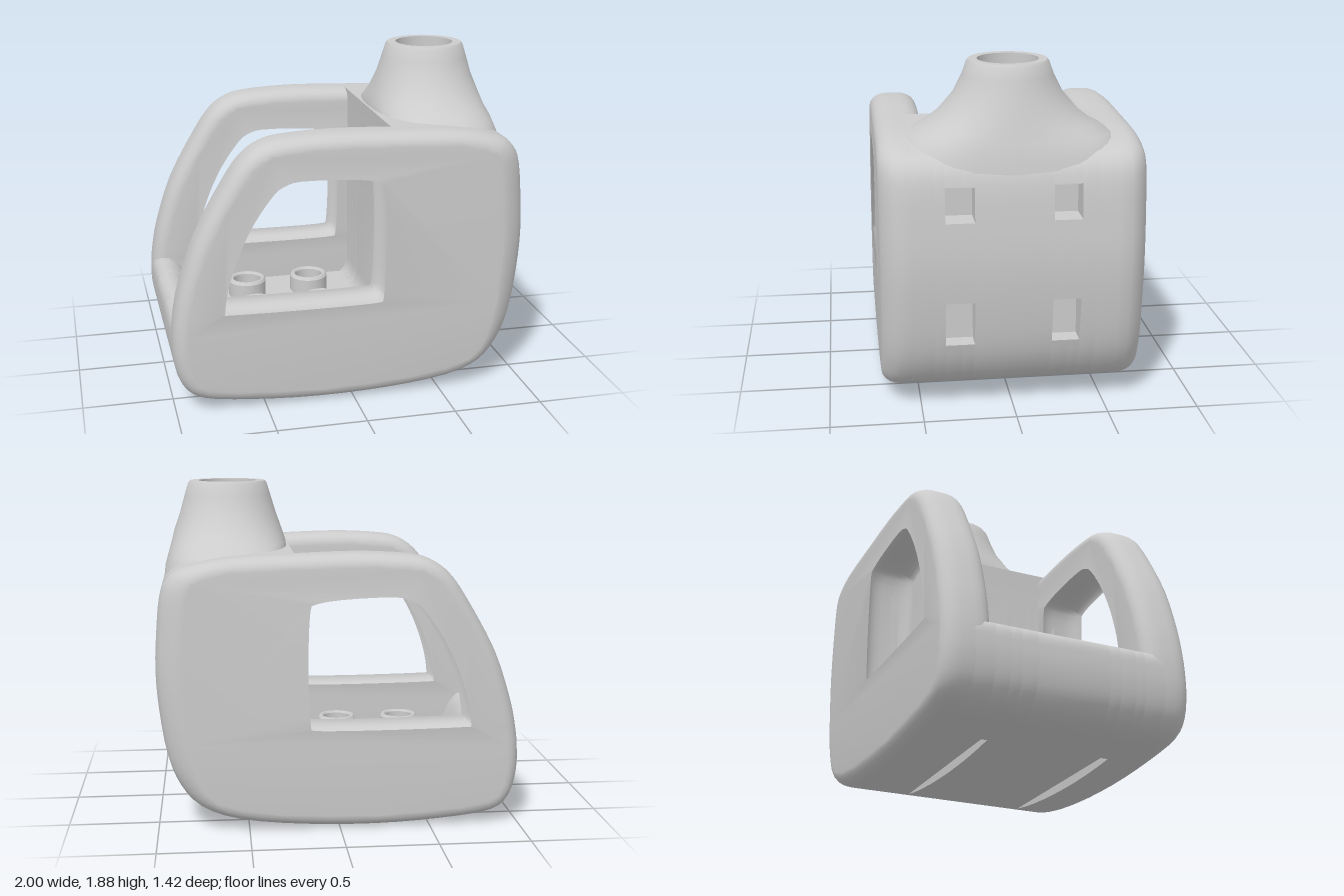
import * as THREE from 'three';
import { toCreasedNormals } from 'three/addons/utils/BufferGeometryUtils.js';

const material = new THREE.MeshStandardMaterial({ color: 0xcccccc, side: THREE.DoubleSide });
const STEPS = 3; // samples per spline segment, so control points are always hit

const vec = ([x, y]) => new THREE.Vector2(x, y);
const smooth = (pts) => new THREE.SplineCurve(pts.map(vec)).getPoints((pts.length - 1) * STEPS);

function addMesh(parent, name, geometry, crease = 0.7) {
  const mesh = new THREE.Mesh(toCreasedNormals(geometry, crease), material);
  mesh.name = name;
  parent.add(mesh);
  return mesh;
}

// Side outline: shoulder, front, underside and rear, shared by core and side frames
const body = smooth([
  [0.24, 1.515], [0.6, 1.5], [0.84, 1.45], [0.93, 1.39], [0.97, 1.29], [0.99, 1.1], [1, 0.88],
  [0.985, 0.66], [0.945, 0.41], [0.88, 0.25], [0.77, 0.13], [0.55, 0.05], [0.2, 0.01], [-0.2, 0],
  [-0.57, 0.02], [-0.85, 0.06], [-0.96, 0.15], [-1, 0.3], [-1, 0.44],
]);

// Outer edge of the handle
const handle = smooth([
  [-1, 0.44], [-0.99, 0.53], [-0.955, 0.7], [-0.86, 0.98], [-0.7, 1.27], [-0.6, 1.41],
  [-0.5, 1.48], [-0.38, 1.51], [-0.1, 1.525], [0.24, 1.515],
]);

// Window inside the handle
const windowEdge = smooth([
  [-0.795, 0.54], [-0.775, 0.7], [-0.715, 0.9], [-0.62, 1.1], [-0.5, 1.27], [-0.42, 1.33],
  [-0.3, 1.36], [0, 1.35], [0.17, 1.32], [0.225, 1.27], [0.243, 1.1], [0.245, 0.8],
  [0.232, 0.57], [0.2, 0.51], [0.1, 0.49], [-0.3, 0.488], [-0.72, 0.495], [-0.78, 0.51], [-0.795, 0.54],
]);

// Rounded side frame with the handle
function sideFrame(side) {
  const shape = new THREE.Shape([...body, ...handle.slice(1, -1)]);
  shape.holes.push(new THREE.Path(windowEdge.slice(0, -1)));
  const geometry = new THREE.ExtrudeGeometry(shape, {
    depth: 0.07, bevelThickness: 0.1, bevelSize: 0.07, bevelOffset: -0.07, bevelSegments: 5,
  });
  geometry.translate(0, 0, side * 0.575 - 0.035);
  // Pull the outer front corner in for a softer radius
  const p = geometry.attributes.position;
  for (let i = 0; i < p.count; i++) {
    const out = Math.max(0, (Math.abs(p.getZ(i)) - 0.56) / 0.15) * (p.getZ(i) * side > 0 ? 1 : 0);
    const front = THREE.MathUtils.smoothstep(p.getX(i), 0.6, 1);
    p.setX(i, p.getX(i) - 0.08 * out * out * front);
  }
  return geometry;
}

// One slice of the core, optionally notched by front pockets and the underside slot
function coreSlice(z0, z1, pockets, slot) {
  const depthX = 0.84;
  const notches = [];
  if (pockets) {
    notches.push([4, 5, [[depthX, 1.29], [depthX, 1.1]]]);
    notches.push([7, 8, [[depthX, 0.66], [depthX, 0.41]]]);
  }
  if (slot) notches.push([11, 14, [[-0.57, 0.05]]]);
  const pts = [];
  let next = 0;
  for (const [from, to, corners] of notches) {
    pts.push(...body.slice(next, from * STEPS + 1), ...corners.map(vec));
    next = to * STEPS;
  }
  pts.push(...body.slice(next));
  // Rear lip, tray floor and the wall behind the spout block
  pts.push(...[
    [-0.985, 0.48], [-0.95, 0.5], [-0.91, 0.5], [-0.86, 0.475], [-0.815, 0.42], [-0.79, 0.35],
    [-0.77, 0.32], [0.19, 0.32], [0.225, 0.35], [0.24, 0.42],
  ].map(vec));
  const geometry = new THREE.ExtrudeGeometry(new THREE.Shape(pts), { depth: z1 - z0, bevelEnabled: false });
  return geometry.translate(0, 0, z0);
}

// Spout lofted from a squarish base to a round mouth, then down into the bore
function spout() {
  // y, left x, right x, half depth, squareness (1 = round)
  const rows = [
    [1.28, 0.27, 0.965, 0.62, 0.6], [1.4, 0.26, 0.95, 0.6, 0.65], [1.49, 0.25, 0.925, 0.55, 0.75],
    [1.54, 0.255, 0.91, 0.46, 0.85], [1.6, 0.275, 0.895, 0.38, 0.92], [1.7, 0.31, 0.86, 0.295, 1],
    [1.8, 0.34, 0.832, 0.245, 1], [1.865, 0.36, 0.812, 0.222, 1], [1.88, 0.37, 0.8, 0.21, 1],
    [1.88, 0.42, 0.75, 0.165, 1], [1.54, 0.42, 0.75, 0.165, 1], [1.54, 0.585, 0.585, 0, 1],
  ];
  const n = 32, pos = [], index = [];
  const bend = (v, e) => Math.sign(v) * Math.abs(v) ** e;
  rows.forEach(([y, xl, xr, rz, e], r) => {
    for (let i = 0; i < n; i++) {
      const a = (i / n) * Math.PI * 2;
      pos.push((xl + xr) / 2 + ((xr - xl) / 2) * bend(Math.cos(a), e), y, rz * bend(Math.sin(a), e));
      if (r === rows.length - 1) continue;
      const p = r * n + i, q = r * n + ((i + 1) % n);
      index.push(p, p + n, q, q, p + n, q + n);
    }
  });
  const geometry = new THREE.BufferGeometry();
  geometry.setAttribute('position', new THREE.Float32BufferAttribute(pos, 3));
  geometry.setIndex(index);
  geometry.computeVertexNormals();
  return geometry;
}

export function createModel() {
  const model = new THREE.Group();
  model.name = 'jug';

  addMesh(model, 'leftSideFrame', sideFrame(1));
  addMesh(model, 'rightSideFrame', sideFrame(-1));

  // Core between the frames, sliced wherever a pocket or slot begins or ends
  const core = new THREE.Group();
  core.name = 'core';
  model.add(core);
  const cuts = [-0.55, -0.43, -0.344, -0.285, -0.194, 0.22, 0.285, 0.374, 0.43, 0.55];
  for (let i = 0; i < cuts.length - 1; i++) {
    const mid = (cuts[i] + cuts[i + 1]) / 2;
    const pockets = (mid > -0.344 && mid < -0.194) || (mid > 0.22 && mid < 0.374);
    const slot = Math.abs(mid) > 0.285 && Math.abs(mid) < 0.43;
    addMesh(core, 'coreSlice', coreSlice(cuts[i], cuts[i + 1], pockets, slot));
  }

  addMesh(model, 'spout', spout(), 0.5);

  // Hollow studs on the tray floor
  const studProfile = [
    [0.113, 0.3], [0.113, 0.41], [0.103, 0.425], [0.089, 0.425], [0.082, 0.415], [0.082, 0.335], [0, 0.335],
  ].map(vec);
  for (const x of [-0.453, -0.068]) {
    for (const z of [-0.195, 0.19]) {
      addMesh(model, 'stud', new THREE.LatheGeometry(studProfile, 32), 0.5).position.set(x, 0, z);
    }
  }
  return model;
}
